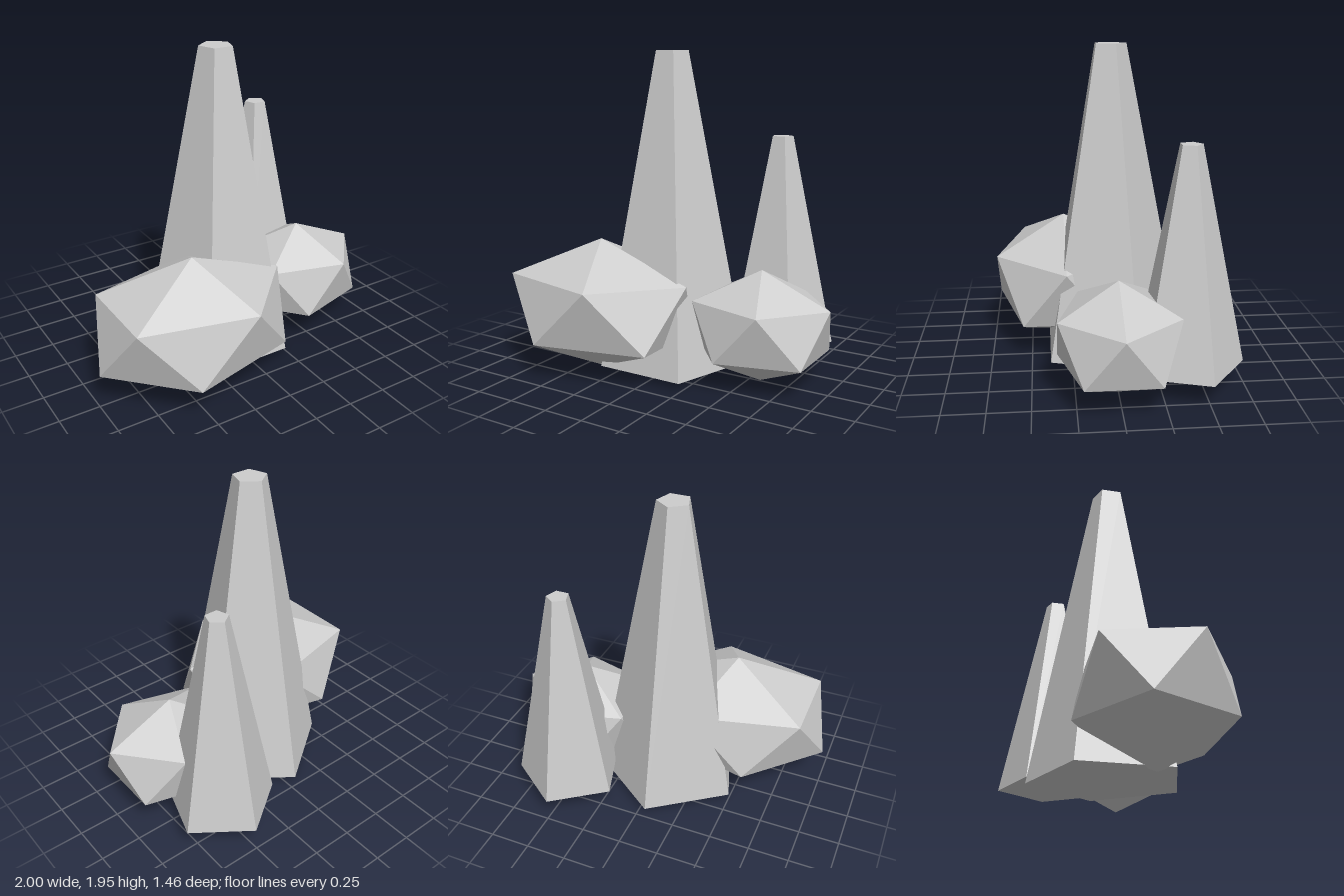
import * as THREE from 'three';

const stone = new THREE.MeshStandardMaterial({ color: 0xcccccc, flatShading: true });
stone.name = 'pale grey stone';

// Five-sided tapering spire with one corner pointing backwards
function spire(name, x, z, bottom, top, bottomRadius, topRadius) {
  const height = top - bottom;
  const geometry = new THREE.CylinderGeometry(topRadius, bottomRadius, height, 5, 1, false, Math.PI);
  const mesh = new THREE.Mesh(geometry, stone);
  mesh.name = name;
  mesh.position.set(x, bottom + height / 2, z);
  return mesh;
}

// Stretched icosahedron standing on one of its corners
function boulder(name, x, y, z, rx, ry, rz) {
  const geometry = new THREE.IcosahedronGeometry(1, 0);
  geometry.rotateZ(-Math.atan(2 / (1 + Math.sqrt(5))));
  geometry.scale(rx, ry, rz);
  const mesh = new THREE.Mesh(geometry, stone);
  mesh.name = name;
  mesh.position.set(x, y, z);
  return mesh;
}

export function createModel() {
  const model = new THREE.Group();
  model.name = 'rock formation';
  model.add(
    spire('tallSpire', -0.05, 0, 0.04, 1.955, 0.475, 0.103),
    spire('shortSpire', 0.5, -0.405, 0.14, 1.44, 0.34, 0.068),
    boulder('largeBoulder', -0.39, 0.41, 0.28, 0.682, 0.41, 0.512),
    boulder('smallBoulder', 0.57, 0.345, 0, 0.481, 0.34, 0.412),
  );
  return model;
}
